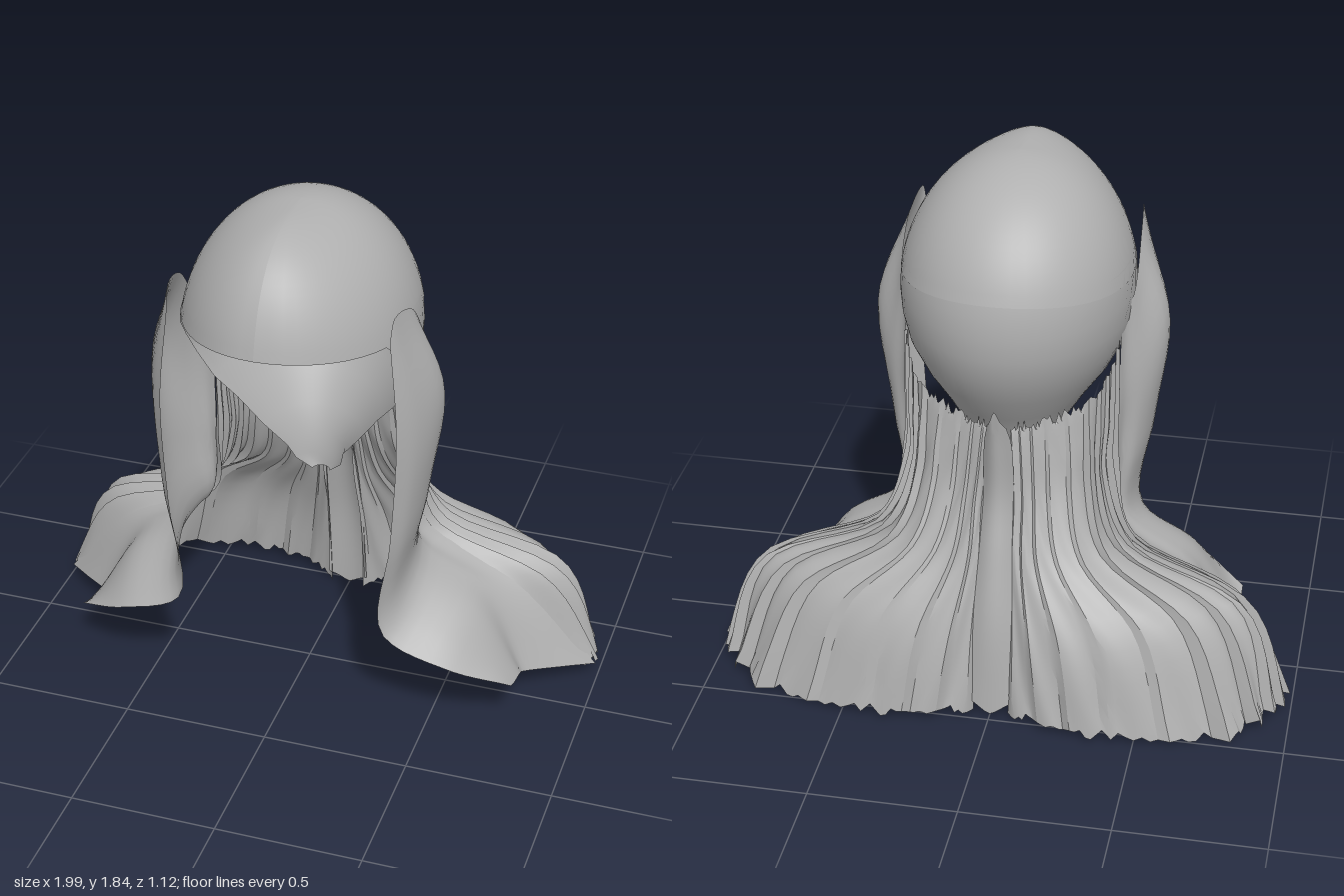
import * as THREE from 'three';
import { toCreasedNormals } from 'three/addons/utils/BufferGeometryUtils.js';

const hair = new THREE.MeshStandardMaterial({ color: 0xb0b0b0, side: THREE.DoubleSide });
hair.name = 'hair grey';

// Grid surface from a function of (u, v) in 0..1
function sheet(nu, nv, at, crease) {
  const pos = [], index = [];
  for (let i = 0; i <= nu; i++) for (let j = 0; j <= nv; j++) pos.push(...at(i / nu, j / nv, i, j));
  for (let i = 0; i < nu; i++) for (let j = 0; j < nv; j++) {
    const a = i * (nv + 1) + j, b = a + nv + 1;
    index.push(a, a + 1, b, b, a + 1, b + 1);
  }
  const g = new THREE.BufferGeometry();
  g.setAttribute('position', new THREE.Float32BufferAttribute(pos, 3));
  g.setIndex(index);
  g.computeVertexNormals();
  return crease ? toCreasedNormals(g, crease) : g;
}

function part(name, geometry) {
  const m = new THREE.Mesh(geometry, hair);
  m.name = name;
  return m;
}

// Smooth surface through columns of points, each running from root to tip
function loft(columns, nu, nv, adjust = p => p, crease = 0.7) {
  const lines = columns.map(c => new THREE.CatmullRomCurve3(c.map(p => new THREE.Vector3(...p))));
  const across = [];
  for (let j = 0; j <= nv; j++) across.push(new THREE.CatmullRomCurve3(lines.map(l => l.getPoint(j / nv))));
  return sheet(nu, nv, (u, v, i, j) => adjust(across[j].getPoint(u), u, v, i).toArray(), crease);
}

function noise(seed) {
  const s = Math.sin(seed * 127.1 + 11.7) * 43758.5453;
  return s - Math.floor(s);
}

// Wide lock beside the face, bending out over the shoulder and sweeping back
const sideColumns = [
  [[.37, 1.54, .335], [.40, 1.2, .345], [.385, .8, .34], [.36, .42, .33], [.58, .31, .31], [.78, .21, .20]],
  [[.375, 1.61, .31], [.45, 1.25, .28], [.43, .85, .28], [.40, .48, .26], [.60, .37, .22], [.78, .19, .15]],
  [[.39, 1.575, .16], [.495, 1.29, .13], [.455, .9, .13], [.42, .56, .12], [.62, .42, .10], [.78, .17, .07]],
  [[.39, 1.42, .03], [.43, 1.15, .02], [.41, .85, .01], [.40, .59, 0], [.63, .43, -.01], [.78, .13, 0]],
  [[.37, 1.36, -.01], [.38, 1.1, -.02], [.37, .85, -.02], [.38, .60, -.05], [.68, .41, -.08], [.90, .10, -.11]],
  [[.36, 1.28, -.05], [.36, 1.05, -.06], [.36, .85, -.06], [.40, .60, -.10], [.74, .40, -.14], [.99, .07, -.20]],
];

// Folded hair from behind the ear round to the nape
const backColumns = [
  [[.36, 1.30, -.04], [.36, 1.08, -.05], [.36, .85, -.05], [.39, .60, -.09], [.73, .41, -.12], [.98, .09, -.18]],
  [[.35, 1.23, -.09], [.35, 1.02, -.09], [.35, .83, -.10], [.42, .60, -.14], [.81, .42, -.19], [.97, .08, -.25]],
  [[.33, 1.18, -.12], [.33, 1.0, -.13], [.33, .82, -.15], [.42, .60, -.20], [.82, .43, -.27], [.93, .07, -.34]],
  [[.30, 1.13, -.16], [.30, .98, -.17], [.31, .82, -.19], [.38, .61, -.26], [.72, .43, -.35], [.87, .06, -.42]],
  [[.22, 1.08, -.20], [.23, .95, -.22], [.24, .80, -.25], [.30, .60, -.34], [.53, .40, -.44], [.64, .05, -.52]],
  [[.13, 1.05, -.23], [.14, .93, -.25], [.15, .78, -.28], [.19, .60, -.37], [.32, .38, -.49], [.38, .06, -.56]],
  [[.07, 1.04, -.25], [.08, .92, -.27], [.09, .78, -.30], [.10, .60, -.37], [.15, .36, -.47], [.20, .05, -.53]],
  [[.03, 1.04, -.26], [.04, .92, -.28], [.05, .78, -.31], [.05, .60, -.35], [.06, .36, -.42], [.06, .05, -.46]],
];

// Broad overlapping folds, fading to soft waves at the back, with ragged tips
function fold(p, u, v, i) {
  const strength = u < .6 ? 1 : .35;
  const depth = strength * (.01 + .03 * v) * ((i % 7) / 6 - .5) * (.5 + noise(Math.floor(i / 7)));
  const r = Math.hypot(p.x, p.z);
  const wave = .012 * v * Math.sin(v * 15 + u * 22) * Math.sin(u * 31);
  p.x += p.x / r * (depth + wave);
  p.z += p.z / r * (depth + wave);
  if (v === 1) p.y += (noise(i + 30) - .6) * .045;
  if (v === 0) p.y += (noise(i + 70) - .5) * .04;
  p.x = Math.min(p.x, 1);
  p.y = Math.max(p.y, .01);
  return p;
}

// Narrow raised lock down the middle of the back
const napeColumns = [-1, -.5, 0, .5, 1].map(k => {
  const d = .04 * (1 - k * k), x = .065 * k;
  return [[x * .5, 1.15 - .08 * Math.abs(k), -.33 - d], [x * .7, 1.0, -.31 - d], [x * .8, .8, -.30 - d],
    [x, .6, -.35 - d], [x, .36, -.42 - d * .6], [x * 1.1, .03 + .04 * Math.abs(k), -.455 - d * .4]];
});

export function createModel() {
  const model = new THREE.Group();
  model.name = 'longHair';

  // Crown: rounded forward over the brow, its brim dipping towards the temples
  model.add(part('crown', sheet(48, 16, (u, v) => {
    const a = u * Math.PI * 2, front = Math.max(0, Math.cos(a));
    const t = v * (1.287 + .11 * Math.sin(a) ** 2);
    const reach = Math.sin(t) ** (1 - .4 * front);
    return [.39 * Math.sin(t) * Math.sin(a) * (1 - .05 * Math.cos(a)), 1.4 + .47 * Math.cos(t),
      .09 + .487 * reach * Math.cos(a)];
  })));

  // Back of the head, open at the face and tapering to the nape.
  // Rows: height, half width, centre z, depth, half angle in degrees
  const rows = [
    [1.535, .374, .09, .465, 120], [1.49, .384, .09, .477, 114], [1.42, .39, .09, .484, 104],
    [1.34, .386, .09, .48, 96], [1.25, .367, .09, .46, 90], [1.15, .315, .08, .40, 88],
    [1.06, .245, .04, .30, 88], [.95, .17, 0, .19, 88], [.85, .10, -.05, .11, 88],
    [.78, .08, -.09, .06, 88], [.73, .03, -.12, .03, 88],
  ];
  model.add(part('backOfHead', sheet(32, rows.length - 1, (u, v, i, j) => {
    const [y, w, zc, d, deg] = rows[j], t = (1 - u * 2) * deg * Math.PI / 180;
    return [w * Math.sin(t) * (1 + .05 * Math.cos(t) * Math.max(0, 1 - j / 4)), y, zc - d * Math.cos(t)];
  })));

  // Both sides share the same locks
  const sideGeometry = loft(sideColumns, 24, 28);
  const backGeometry = loft(backColumns, 70, 28, fold, .5);
  for (const s of [1, -1]) {
    const half = new THREE.Group();
    half.name = s > 0 ? 'leftHair' : 'rightHair';
    half.add(part('sideLock', sideGeometry), part('backHair', backGeometry));
    half.scale.x = s;
    model.add(half);
  }

  model.add(part('napeLock', loft(napeColumns, 8, 24)));
  return model;
}
